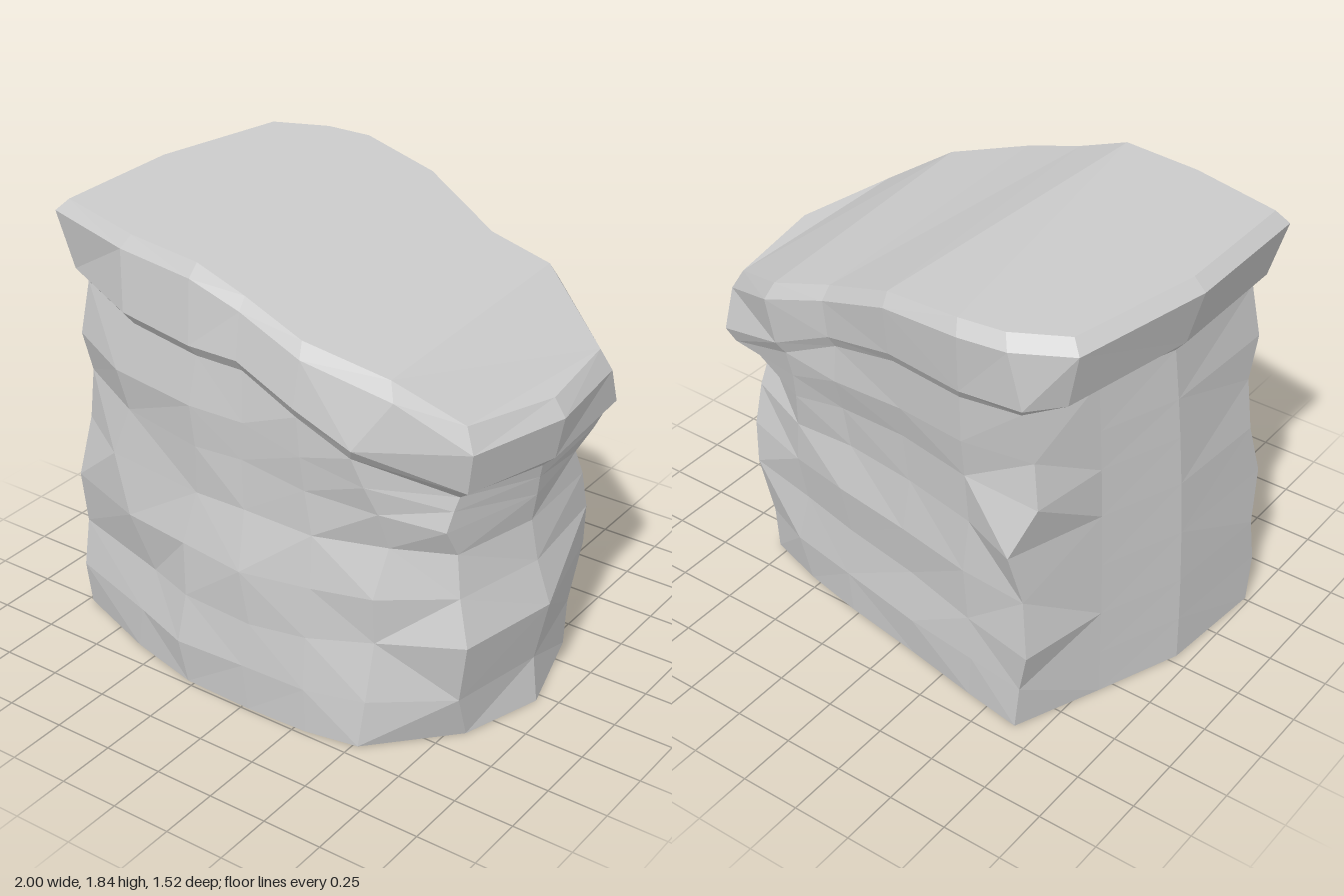
import * as THREE from 'three';

// Plan outlines [x, z], counter-clockwise from the front left corner
const FOOT = [[-.98, .51], [-.6, .65], [-.28, .73], [.03, .74], [.3, .73], [.52, .69], [.81, .38], [.92, .04],
  [.8, -.37], [.55, -.45], [.28, -.51], [-.08, -.57], [-.4, -.63], [-.65, -.67], [-.8, -.31], [-.94, .04]];
const LIP = [[-1, .55], [-.58, .66], [-.22, .7], [0, .69], [.28, .71], [.62, .62], [.88, .5], [1, .07],
  [.925, -.41], [.55, -.63], [.28, -.61], [-.08, -.7], [-.45, -.76], [-.65, -.74], [-.87, -.63], [-1, -.04]];
const N = LIP.length;
// Columns where the slab's lower edge leaves the line of its rim
const LOWER = { 5: [.5, .71], 8: [.92, -.47], 10: [.27, -.6], 13: [-.7, -.72] };

// Height profiles along x
const XS = [-1, -.22, 0, .3, .62, .88, 1];
const UNDER = [1.56, 1.51, 1.505, 1.39, 1.23, 1.11, 1.13];
const RIM = [1.79, 1.765, 1.69, 1.58, 1.48, 1.3, 1.3];
const TOP = [1.84, 1.82, 1.74, 1.64, 1.55, 1.395, 1.37];
function heightAt(x, ys) {
  let i = 0;
  while (i < XS.length - 2 && x > XS[i + 1]) i++;
  return THREE.MathUtils.lerp(ys[i], ys[i + 1], (x - XS[i]) / (XS[i + 1] - XS[i]));
}

// Wall course heights at the tall and at the low end
const TALL = [0, .2, .4, .64, .88, 1.1, 1.28, 1.5];
const LOW = [0, .2, .47, .65, .82, .94, 1.02, 1.08];
// Bulges of the marked columns in x and z, per course
const BULGE = {
  0: { x: [0, 0, 0, 0, 0, .01, -.01, 0], z: [0, .03, 0, .04, -.03, -.03, .02, 0] },
  1: { x: [0, .04, .1, 0, -.1, -.03, -.07, 0], z: [0, .02, 0, .03, 0, -.01, .02, 0] },
  4: { x: [0, 0, 0, .02, .02, 0, 0, 0], z: [0, .01, -.01, -.02, -.04, -.03, -.01, 0] },
  5: { x: [0, .02, .03, .04, .07, .06, .03, 0], z: [0, -.02, -.07, -.05, -.12, -.07, -.03, 0] },
  6: { x: [0, .01, .06, .0, -.03, -.04, -.03, -.02], z: [0, .07, .09, .04, 0, .05, .01, -.02] },
  7: { x: [0, -.02, .04, -.02, -.05, -.03, -.02, -.01], z: [0, 0, 0, 0, 0, 0, 0, 0] },
  8: { x: [0, 0, .02, .02, 0, -.02, 0, 0], z: [0, -.01, -.04, -.01, .05, .12, .05, -.01] },
  13: { x: [0, -.02, -.07, -.03, 0, -.08, -.04, 0], z: [0, 0, -.03, 0, -.06, .01, .04, .01] },
};
const SWELL = [0, .02, -.005, .015, -.02, -.015, .01, 0];

function noise(i, r) {
  const s = Math.sin(i * 12.99 + r * 78.23 + 3) * 43758.55;
  return (s - Math.floor(s)) * 2 - 1;
}

// Faceted skin through rings of equal count, optionally closed at either end
function skin(name, rings, closeBottom, closeTop) {
  const pos = [];
  const tri = (a, b, c) => pos.push(...a, ...b, ...c);
  const dist = (a, b) => Math.hypot(a[0] - b[0], a[1] - b[1], a[2] - b[2]);
  for (let r = 0; r + 1 < rings.length; r++) {
    const lo = rings[r], hi = rings[r + 1];
    for (let i = 0; i < N; i++) {
      const j = (i + 1) % N;
      // Split each facet along its shorter diagonal
      if (dist(lo[i], hi[j]) < dist(lo[j], hi[i])) {
        tri(lo[i], lo[j], hi[j]);
        tri(lo[i], hi[j], hi[i]);
      } else {
        tri(lo[i], lo[j], hi[i]);
        tri(lo[j], hi[j], hi[i]);
      }
    }
  }
  // Strips run from front to back across the outline
  const close = (p, up) => {
    const face = (a, b, c) => (up ? tri(p[a], p[b], p[c]) : tri(p[a], p[c], p[b]));
    face(0, 14, 15);
    for (let i = 0; i < 6; i++) {
      face(i, i + 1, 13 - i);
      face(i, 13 - i, 14 - i);
    }
    face(6, 7, 8);
  };
  if (closeBottom) close(rings[0], false);
  if (closeTop) close(rings[rings.length - 1], true);
  const geo = new THREE.BufferGeometry();
  geo.setAttribute('position', new THREE.Float32BufferAttribute(pos, 3));
  geo.computeVertexNormals();
  const mesh = new THREE.Mesh(geo, new THREE.MeshStandardMaterial({ color: 0xcccccc, flatShading: true }));
  mesh.name = name;
  return mesh;
}

export function createModel() {
  // Overhanging slab: lower edge, rim and bevelled top, sagging a little at the low back
  const lower = LIP.map(([x, z], i) => {
    const [lx, lz] = LOWER[i] ?? [x * (x < -.8 ? .935 : .965), z * (z > .6 ? 1.04 : .96)];
    return [lx, heightAt(lx, UNDER), lz];
  });
  const sag = (x, z) => (x > .2 && z < 0 ? .025 : 0);
  const rim = LIP.map(([x, z]) => [x, heightAt(x, RIM) - sag(x, z), z]);
  const top = LIP.map(([x, z]) => [x * .95, heightAt(x, TOP) - sag(x, z), z * .95]);
  const neck = lower.map(([x, y, z]) => [x * .955, y - .05, z * .955]);
  neck[14] = neck[13].map((v, k) => (v + neck[15][k]) / 2); // plain left face

  // Rough wall, course by course from the foot up to the neck
  const courses = TALL.map((tall, r) => FOOT.map(([x, z], i) => {
    const [nx, ny, nz] = neck[i];
    const t = THREE.MathUtils.clamp((1.5 - ny) / .42, 0, 1);
    const y = r === 7 ? ny : THREE.MathUtils.lerp(tall, LOW[r], t);
    const f = (y / ny) ** 2;
    const px = THREE.MathUtils.lerp(x, nx, f), pz = THREE.MathUtils.lerp(z, nz, f);
    if (BULGE[i]) return [px + BULGE[i].x[r], y, pz + BULGE[i].z[r]];
    if (i > 13 || r === 0 || r === 7) return [px, y, pz];
    const k = 1 + (SWELL[r] + noise(i, r) * .012) / Math.hypot(px, pz);
    return [px * k + noise(i + 40, r) * .02, y + noise(i + 80, r) * .01, pz * k];
  }));

  const model = new THREE.Group();
  model.name = 'rockLedge';
  model.add(skin('rockWall', courses, true, false));
  model.add(skin('capSlab', [courses[7], lower, rim, top], false, true));
  return model;
}
